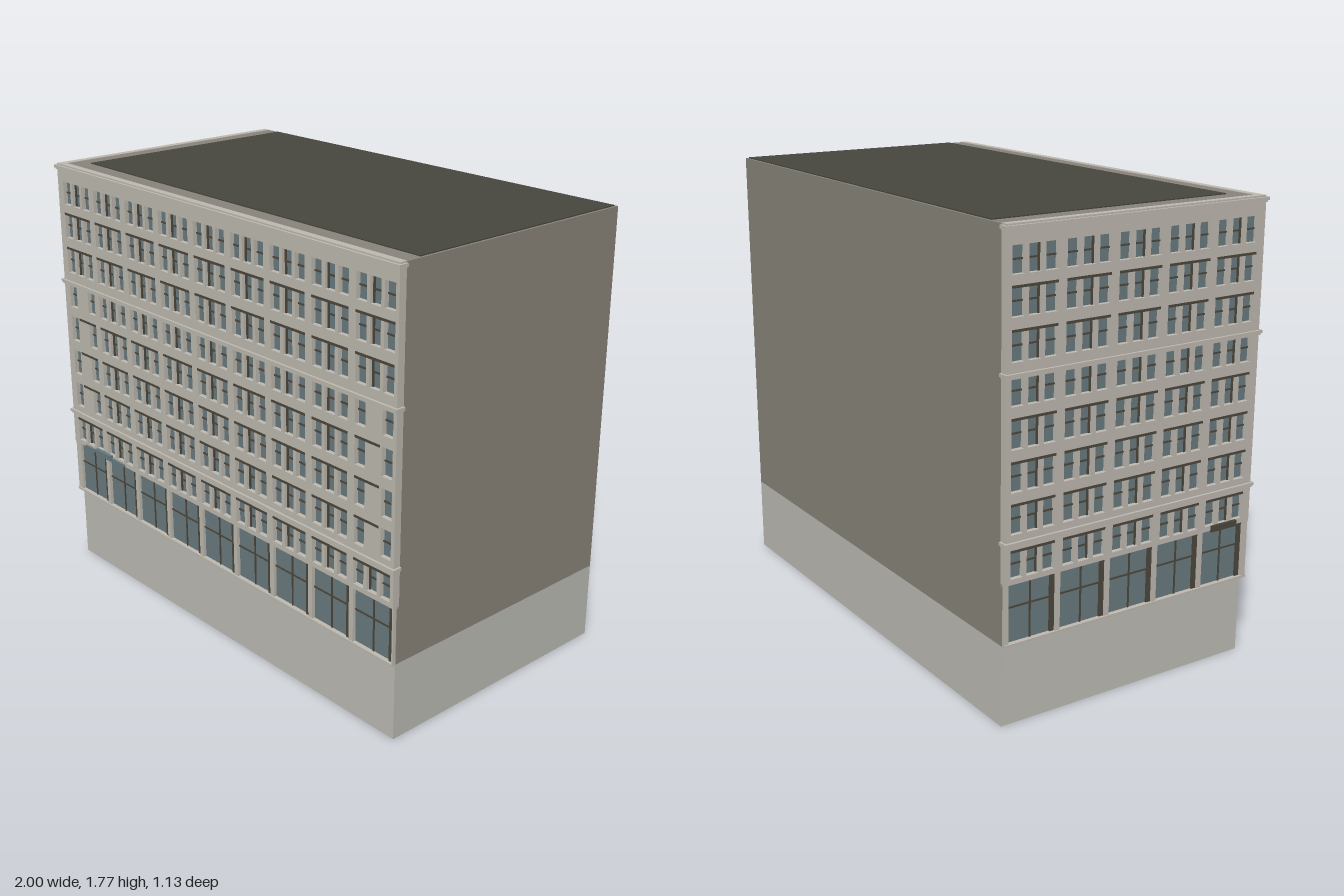
import * as THREE from 'three';
import { mergeGeometries } from 'three/addons/utils/BufferGeometryUtils.js';

const mat = (name, color) => Object.assign(new THREE.MeshStandardMaterial({ color }), { name });

// [bottom, top] of each window row, from the top floor down
const ROWS = [
  [1.605, 1.70], [1.465, 1.567], [1.315, 1.422], [1.165, 1.267],
  [1.016, 1.123], [0.866, 0.973], [0.716, 0.824], [0.556, 0.658],
];
const SHOP = [0.316, 0.535];
const WIN = 0.05, GAP = 0.066;

export function createModel() {
  const stone = mat('pale stone', 0xbfbbb2);
  const plinth = mat('plinth grey', 0xbebdb6);
  const wall = mat('brown wall', 0x8a857b);
  const roofing = mat('dark roofing', 0x474740);
  const glass = mat('blue grey glass', 0x6a7c80);
  const frame = mat('dark brown frame', 0x4d473c);

  const model = new THREE.Group();
  model.name = 'officeBuilding';

  // box from its two opposite corners
  const box = (x0, x1, y0, y1, z0, z1) =>
    new THREE.BoxGeometry(x1 - x0, y1 - y0, z1 - z0)
      .translate((x0 + x1) / 2, (y0 + y1) / 2, (z0 + z1) / 2);
  const add = (parent, name, geometry, material) => {
    const mesh = new THREE.Mesh(geometry, material);
    mesh.name = name;
    parent.add(mesh);
  };
  const rect = (path, x0, x1, y0, y1) => {
    path.moveTo(x0, y0);
    path.lineTo(x1, y0);
    path.lineTo(x1, y1);
    path.lineTo(x0, y1);
    path.closePath();
    return path;
  };
  // pierced wall slab between z0 and z1
  const slab = (x0, x1, y0, y1, holes, z0, z1) => {
    const shape = rect(new THREE.Shape(), x0, x1, y0, y1);
    for (const h of holes) shape.holes.push(rect(new THREE.Path(), ...h));
    return new THREE.ExtrudeGeometry(shape, { depth: z1 - z0, bevelEnabled: false }).translate(0, 0, z0);
  };

  // plinth, main block and roof
  add(model, 'plinth', box(-0.972, 0.99, 0, 0.308, -0.56, 0.535), plinth);
  add(model, 'upperBlock', box(-0.96, 0.99, 0.53, 1.768, -0.56, 0.52), wall);
  add(model, 'groundBlock', box(-0.972, 0.99, 0.308, 0.53, -0.56, 0.53), wall);
  add(model, 'roof', box(-0.89, 0.98, 1.765, 1.772, -0.55, 0.45), roofing);

  // one street facade; local z = 0 is its outer face
  function facade(name, x0, x1, bays, first, pitch, blindEnds) {
    const g = new THREE.Group();
    g.name = name;
    const holes = [], shopHoles = [], frames = [], lintels = [], shopFrames = [];
    for (let b = 0; b < bays; b++) {
      const c = first + b * pitch;
      ROWS.forEach(([y0, y1], r) => {
        const blind = blindEnds && r >= 3 && r <= 6 && (b === 0 || b === bays - 1);
        for (const k of [-1, 0, 1]) {
          if (blind && k === 0) continue;
          const a = c + k * GAP - WIN / 2, e = a + WIN, m = (y0 + y1) / 2;
          holes.push([a, e, y0, y1]);
          // sash rail, and side jambs on the middle window
          frames.push(box(a, e, m - 0.003, m + 0.003, -0.02, -0.013));
          if (k === 0) {
            frames.push(box(a, a + 0.006, y0, y1, -0.02, -0.012));
            frames.push(box(e - 0.006, e, y0, y1, -0.02, -0.012));
          }
        }
        // dark strip over the windows of a bay
        if (r !== 0 && r !== 3) {
          const l = blind && b === 0 ? c - 0.03 : c - GAP - WIN / 2;
          const e = blind && b > 0 ? c + 0.03 : c + GAP + WIN / 2;
          lintels.push(box(l, e, y1 - 0.006, y1 + 0.003, -0.008, 0.002));
        }
      });
      // shop window with mullions and a side jamb
      const s0 = c - 0.096, s1 = c + 0.1, [y0, y1] = SHOP;
      shopHoles.push([s0, s1, y0, y1]);
      shopFrames.push(box(s1 - 0.019, s1, y0, y1, -0.02, -0.01));
      shopFrames.push(box(c - 0.003, c + 0.003, y0, y1, -0.02, -0.013));
      shopFrames.push(box(s0, s1, 0.444, 0.45, -0.02, -0.013));
      shopFrames.push(box(s0, s1, y1 - 0.006, y1, -0.02, -0.013));
    }
    add(g, 'upperFacade', slab(x0, x1, 0.536, 1.77, holes, -0.03, 0), stone);
    add(g, 'shopPiers', slab(x0, x1, 0.308, 0.536, shopHoles, -0.018, -0.004), stone);
    add(g, 'windowGlass', box(x0 + 0.01, x1 - 0.003, 0.54, 1.72, -0.028, -0.018), glass);
    add(g, 'shopGlass', box(x0 + 0.01, x1 - 0.003, 0.312, 0.536, -0.022, -0.017), glass);
    add(g, 'windowFrames', mergeGeometries(frames), frame);
    add(g, 'lintels', mergeGeometries(lintels), frame);
    add(g, 'shopFrames', mergeGeometries(shopFrames), frame);

    // string courses, top cornice and shop sill
    const bands = [];
    for (const y of [0.685, 1.273, 1.758]) {
      bands.push(box(x0 - 0.008, x1 + 0.008, y - 0.006, y + 0.006, -0.03, 0.01));
      bands.push(box(x0 - 0.003, x1 + 0.003, y - 0.013, y - 0.006, -0.03, 0.005));
    }
    bands.push(box(x0, x1, 0.306, 0.316, -0.02, 0.001));
    add(g, 'cornices', mergeGeometries(bands), stone);
    model.add(g);
    return g;
  }

  const front = facade('frontFacade', -0.99, 0.99, 9, -0.861, 0.218, true);
  front.position.z = 0.55;
  const side = facade('sideFacade', -0.557, 0.538, 5, -0.445, 0.217, false);
  side.rotation.y = -Math.PI / 2;
  side.position.x = -0.99;

  // entrance canopies over the corner shop
  add(front, 'canopy', box(-0.9, -0.61, 0.535, 0.547, 0, 0.007), glass);
  add(front, 'canopyBoard', box(-0.81, -0.7, 0.535, 0.56, 0, 0.014), glass);
  add(side, 'sideCanopy', box(0.36, 0.48, 0.533, 0.557, 0, 0.01), frame);

  return model;
}
